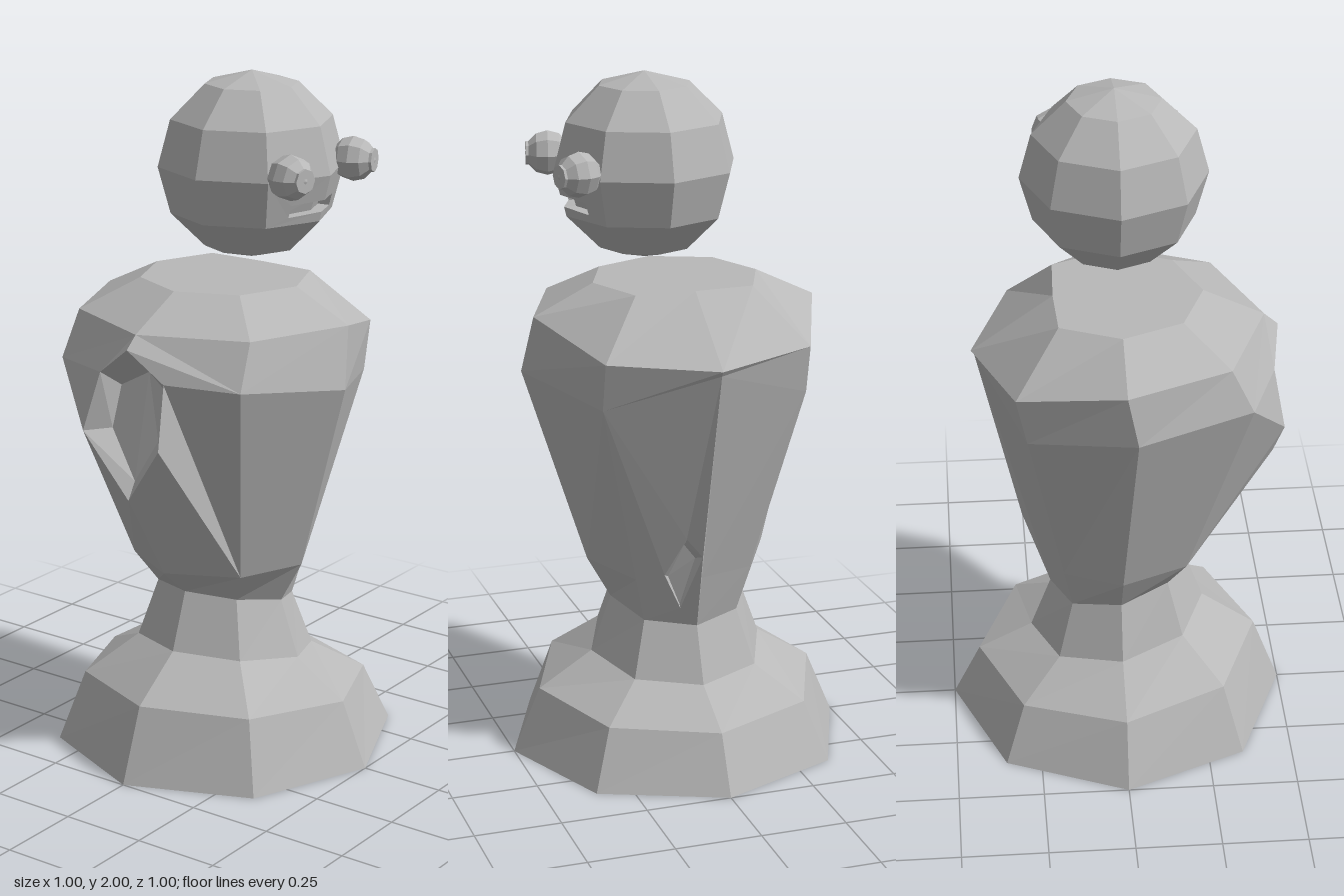
import * as THREE from 'three';

const grey = new THREE.MeshStandardMaterial({ color: 0xb8b8b8, flatShading: true });
grey.name = 'stone grey';

const V = (x, y, z) => new THREE.Vector3(x, y, z);

// Adds a polygon as a fan, corners counter-clockwise from outside
function poly(out, ...p) {
  for (let i = 1; i < p.length - 1; i++) out.push(p[0], p[i], p[i + 1]);
}

// Joins two loops of equal length, leaving out the listed sides
function band(out, a, b, skip = []) {
  a.forEach((p, i) => {
    const j = (i + 1) % a.length;
    if (!skip.includes(i)) poly(out, p, a[j], b[j], b[i]);
  });
}

// Fills a face around a sunken hollow
function recess(out, outer, rim, floor) {
  band(out, outer, rim);
  band(out, rim, floor);
  poly(out, ...floor);
}

// Eight corners running from +x through the back; tilt raises the front
function ring(y, r, tilt = 0, cx = 0) {
  return Array.from({ length: 8 }, (_, k) => {
    const a = (k * Math.PI) / 4;
    const z = -r * Math.sin(a);
    return V(cx + r * Math.cos(a), y + tilt * z, z);
  });
}

function facetMesh(name, points) {
  const g = new THREE.BufferGeometry().setFromPoints(points);
  g.computeVertexNormals();
  const m = new THREE.Mesh(g, grey);
  m.name = name;
  return m;
}

// Flared foot and narrow waist
function pedestalRings() {
  return [ring(0, 0.5), ring(0.19, 0.42, 0.06), ring(0.29, 0.26, 0.16), ring(0.455, 0.2, 0.22)];
}

function makePedestal() {
  const out = [];
  const rings = pedestalRings();
  poly(out, ...[...rings[0]].reverse());
  for (let i = 0; i < 3; i++) band(out, rings[i], rings[i + 1]);
  return facetMesh('pedestal', out);
}

// Torso with a hollow in the chest and a small notch low on the back
function makeTorso() {
  const out = [];
  const waist = pedestalRings()[3];
  const chest = [
    V(0.445, 1.15, 0.05), V(0.3, 1.11, -0.27), V(0, 1.22, -0.405), V(-0.3, 1.11, -0.27),
    V(-0.43, 1.17, 0.03), V(-0.31, 1.19, 0.36), V(0, 1.28, 0.46), V(0.31, 1.19, 0.36),
  ];
  const belly = ring(0.58, 0.27);
  belly[6].set(0, 0.585, 0.3);
  for (const k of [1, 2, 3]) belly[k].lerpVectors(waist[k], chest[k], 0.2);
  const shoulder = ring(1.32, 0.42);
  shoulder[1].set(0.3, 1.25, -0.3);
  shoulder[2].set(0, 1.235, -0.415);
  shoulder[3].set(-0.3, 1.25, -0.3);
  const top = ring(1.405, 0.245);
  top[2].z = -0.18;

  band(out, waist, belly, [1]);
  band(out, belly, chest, [1, 5, 6]);
  band(out, chest, shoulder, [5, 6]);
  band(out, shoulder, top);
  poly(out, ...top);

  // Chest hollow
  poly(out, shoulder[6], shoulder[5], chest[5]);
  poly(out, chest[7], shoulder[7], shoulder[6]);
  recess(out,
    [shoulder[6], chest[5], belly[5], belly[6], belly[7], chest[7]],
    [V(0, 1.285, 0.46), V(-0.11, 1.2, 0.44), V(-0.15, 1.03, 0.47),
      V(0, 0.85, 0.46), V(0.12, 1.02, 0.48), V(0.11, 1.2, 0.44)],
    [V(0, 1.2, 0.36), V(-0.09, 1.15, 0.37), V(-0.1, 1.03, 0.4),
      V(0, 0.9, 0.43), V(0.06, 1.02, 0.4), V(0.06, 1.16, 0.37)]);

  // Back notch
  recess(out,
    [waist[1], waist[2], chest[2], chest[1]],
    [V(0.1, 0.58, -0.205), V(0.05, 0.47, -0.197), V(0.01, 0.65, -0.28), V(0.05, 0.7, -0.255)],
    [V(0.085, 0.57, -0.19), V(0.05, 0.48, -0.19), V(0.015, 0.63, -0.225), V(0.045, 0.67, -0.215)]);
  return facetMesh('torso', out);
}

// Faceted ball head, facing +x, with a cut mouth
function makeHead() {
  const out = [];
  const R = 0.265;
  const rings = Array.from({ length: 7 }, (_, i) => {
    const a = (i * Math.PI) / 6;
    return ring(1.735 - R * Math.cos(a), R * Math.sin(a), 0, 0.09);
  });
  for (let i = 0; i < 6; i++) band(out, rings[i], rings[i + 1], i === 2 ? [0, 7] : []);
  const [low, mid] = [rings[2], rings[3]];
  const rim = [V(0.337, 1.665, 0), V(0.294, 1.66, 0.1), V(0.284, 1.625, 0.1),
    V(0.326, 1.63, 0), V(0.284, 1.625, -0.1), V(0.294, 1.66, -0.1)];
  recess(out, [mid[0], mid[7], low[7], low[0], low[1], mid[1]], rim,
    rim.map((p) => V(p.x - 0.035, p.y, p.z * 0.95)));
  return facetMesh('head', out);
}

// Bulging eye with a thin round pupil
function makeEye(side) {
  const eye = new THREE.Group();
  eye.name = side > 0 ? 'rightEye' : 'leftEye';
  const ball = new THREE.Mesh(new THREE.SphereGeometry(0.064, 8, 6).rotateZ(-Math.PI / 2), grey);
  ball.name = 'eyeball';
  const pupil = new THREE.Mesh(new THREE.CylinderGeometry(0.034, 0.034, 0.008, 8).rotateZ(-Math.PI / 2), grey);
  pupil.name = 'pupil';
  pupil.position.x = 0.058;
  eye.add(ball, pupil);
  eye.position.set(0.328, 1.753, side * 0.155);
  eye.rotation.y = -side * 0.25;
  return eye;
}

export function createModel() {
  const model = new THREE.Group();
  model.name = 'bust';
  model.add(makePedestal(), makeTorso(), makeHead(), makeEye(1), makeEye(-1));
  return model;
}
